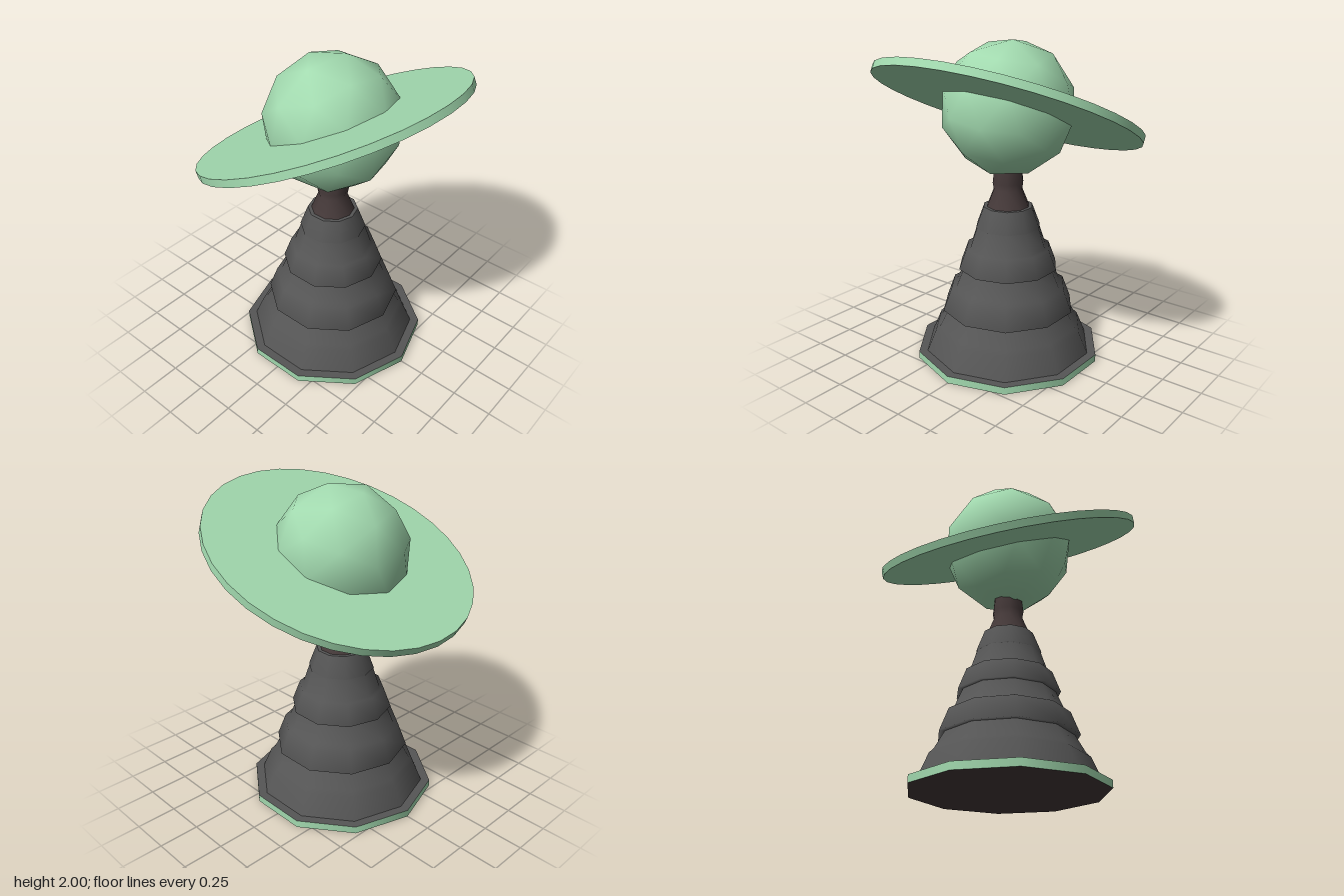
import * as THREE from 'three';
import { mergeVertices } from 'three/addons/utils/BufferGeometryUtils.js';

const mat = (color) => new THREE.MeshStandardMaterial({ color });
const SIDES = 10;

export function createModel() {
  const group = new THREE.Group();
  const green = mat(0xa3dbb0);
  const grey = mat(0x565656);
  const brown = mat(0x463a3a);

  const add = (parent, name, geometry, material) => {
    const mesh = new THREE.Mesh(geometry, material);
    mesh.name = name;
    parent.add(mesh);
    return mesh;
  };
  const lathe = (profile) =>
    new THREE.LatheGeometry(profile.map(([r, y]) => new THREE.Vector2(r, y)), SIDES);

  // Base plate: green rim, grey top, brown underside
  add(group, 'basePlate', new THREE.CylinderGeometry(0.59, 0.59, 0.046, SIDES), [green, grey, brown])
    .position.y = 0.023;

  // Stacked skirt tiers, each [radius, height] from its bottom edge up
  const tiers = [
    [[0.535, 0.045], [0.478, 0.18], [0.452, 0.205], [0.39, 0.316]],
    [[0.38, 0.314], [0.425, 0.314], [0.371, 0.455], [0.338, 0.468], [0.288, 0.586]],
    [[0.28, 0.584], [0.318, 0.584], [0.269, 0.714], [0.244, 0.718], [0.2, 0.85]],
    [[0.19, 0.848], [0.206, 0.848], [0.156, 0.98]],
  ];
  tiers.forEach((profile, i) => add(group, `skirtTier${i + 1}`, lathe(profile), grey));

  // Flat ledge closing the top tier
  const ledge = add(group, 'skirtTop', new THREE.CircleGeometry(0.156, SIDES), grey);
  ledge.rotation.set(-Math.PI / 2, 0, Math.PI / 2);
  ledge.position.y = 0.98;

  // Neck with a small collar bulge
  add(group, 'neck', lathe([[0.136, 0.975], [0.09, 1.09], [0.098, 1.13], [0.09, 1.2], [0.09, 1.25]]), brown);

  // Planet and its ring share one tilt, rising toward the front
  const planet = new THREE.Group();
  planet.name = 'ringedPlanet';
  planet.position.y = 1.592;
  planet.rotation.x = -THREE.MathUtils.degToRad(24.6);
  group.add(planet);

  // Faceted ball: a once-subdivided icosahedron turned to stand on a corner
  let ball = new THREE.IcosahedronGeometry(0.4127, 1);
  const t = (1 + Math.sqrt(5)) / 2;
  const corner = new THREE.Vector3(0, 1, t).normalize();
  const up = new THREE.Vector3(0, 1, 0);
  ball.applyQuaternion(new THREE.Quaternion().setFromUnitVectors(corner, up));
  // the mirror plane now lies on z, so an upper corner sits at azimuth 0 or 180
  const p = ball.attributes.position;
  let azimuth = 0;
  for (let i = 0; i < p.count; i++) {
    const y = p.getY(i) / 0.4127;
    if (Math.abs(y - 1 / Math.sqrt(5)) < 0.01) azimuth = Math.atan2(p.getX(i), p.getZ(i));
  }
  ball.rotateY(THREE.MathUtils.degToRad(18) - azimuth);
  // weld for smooth shading
  ball.deleteAttribute('uv');
  ball.deleteAttribute('normal');
  ball = mergeVertices(ball, 1e-4);
  ball.computeVertexNormals();
  add(planet, 'planetBall', ball, green);

  // Flat disc ring
  add(planet, 'planetRing', new THREE.CylinderGeometry(0.83, 0.83, 0.046, 32), green)
    .position.y = -0.006;

  return group;
}
